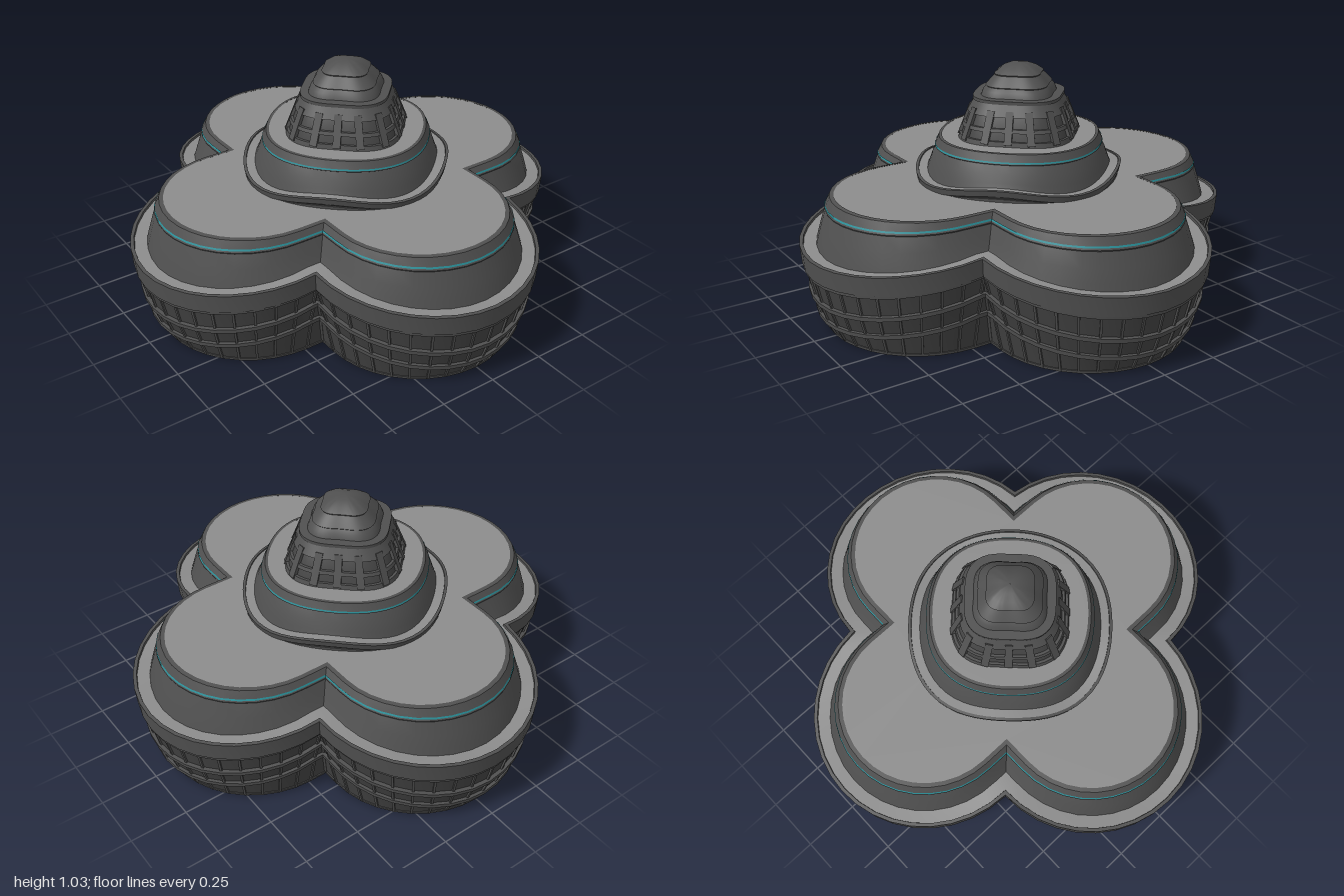
import * as THREE from 'three';
import { mergeGeometries, toCreasedNormals } from 'three/addons/utils/BufferGeometryUtils.js';

const mat = (name, color) =>
  Object.assign(new THREE.MeshStandardMaterial({ color, side: THREE.DoubleSide }), { name });

const C = 0.49; // distance of each lobe centre from the axis

// Four-lobed plan; r is the lobe radius, w rises from 0 at a lobe tip to 1 at a notch
function lobedPlan(r) {
  const s = r <= C ? r : (2 * C + Math.sqrt(4 * C * C - 8 * (C * C - r * r))) / 4;
  const T = r <= C ? Math.PI / 2 : Math.atan2(s, s - C);
  const pts = [], M = 18;
  for (let k = 0; k < 4; k++) {
    const lobe = [[s, -s, 1]];
    for (let i = 0; i <= M; i++) {
      const u = (i / M) * 2 - 1;
      lobe.push([C + r * Math.cos(u * T), r * Math.sin(u * T), Math.pow(Math.abs(u), 1.6)]);
    }
    const c = Math.round(Math.cos(k * Math.PI / 2)), n = Math.round(Math.sin(k * Math.PI / 2));
    for (const [x, z, w] of lobe) pts.push({ x: x * c - z * n, z: x * n + z * c, w });
  }
  return pts;
}

// Softly four-lobed round plan
const softPlan = (k) => (r) => Array.from({ length: 64 }, (_, i) => {
  const a = (i / 64) * Math.PI * 2, q = r * (1 + k * (Math.cos(4 * a) - 1) / 2);
  return { x: q * Math.cos(a), z: q * Math.sin(a), w: (1 - Math.cos(4 * a)) / 2 };
});

// Ring of points from a profile entry [radius, height, rise at the notches]
const ring = (plan, [r, y, amp = 0]) =>
  plan(r).map((p) => new THREE.Vector3(p.x, y + amp * p.w, p.z));

// Surface through the rings of a profile
function loft(plan, profile) {
  const rings = profile.map((p) => ring(plan, p));
  const n = rings[0].length, pos = [], idx = [];
  rings.forEach((rg) => rg.forEach((p) => pos.push(p.x, p.y, p.z)));
  for (let i = 0; i + 1 < rings.length; i++) {
    for (let j = 0; j < n; j++) {
      const a = i * n + j, b = i * n + (j + 1) % n;
      idx.push(a, b + n, b, a, a + n, b + n);
    }
  }
  const g = new THREE.BufferGeometry();
  g.setAttribute('position', new THREE.Float32BufferAttribute(pos, 3));
  g.setIndex(idx);
  return toCreasedNormals(g, 0.55);
}

// Upright bars along the ring, from a lower to an upper profile entry
function bars(plan, low, high, step, width, depth) {
  const a = ring(plan, low), b = ring(plan, high), n = a.length, list = [];
  for (let j = 0; j < n; j += step) {
    const up = b[j].clone().sub(a[j]), len = up.length();
    up.normalize();
    const t = a[(j + 1) % n].clone().sub(a[(j + n - 1) % n]).normalize();
    const out = t.clone().cross(up).normalize();
    t.crossVectors(up, out);
    const m = new THREE.Matrix4().makeBasis(t, up, out)
      .setPosition(a[j].clone().add(b[j]).multiplyScalar(0.5));
    list.push(new THREE.BoxGeometry(width, len, depth).applyMatrix4(m));
  }
  return mergeGeometries(list);
}

// Flat roof with an optional opening
function roofPlate(plan, r, y, holePlan, holeR) {
  const v = (p) => new THREE.Vector2(p.x, -p.z);
  const shape = new THREE.Shape(plan(r).map(v));
  if (holePlan) shape.holes.push(new THREE.Path(holePlan(holeR).map(v)));
  return new THREE.ShapeGeometry(shape).rotateX(-Math.PI / 2).translate(0, y, 0);
}

export function createModel() {
  const wall = mat('dark wall', 0x505050);
  const glass = mat('window glass', 0x444444);
  const roof = mat('light roof', 0x8c8c8c);
  const teal = mat('teal trim', 0x2a8f98);
  const model = new THREE.Group();
  let group;
  const tier = (name) => {
    group = new THREE.Group();
    group.name = name;
    model.add(group);
  };
  const add = (name, geo, m) => {
    const mesh = new THREE.Mesh(geo, m);
    mesh.name = name;
    group.add(mesh);
  };
  // Window row: glass band, mullions and the projecting ledge along its top
  const windowRow = (plan, low, high, step, width, depth, lip) => {
    add('windowBand', loft(plan, [low, high]), glass);
    add('mullions', bars(plan, low, high, step, width, depth), wall);
    const [r, y, amp] = high;
    add('ledge', loft(plan, [[r - 0.012, y - lip, amp], [r + 0.008, y - lip, amp],
      [r + 0.01, y + 0.004, amp], [r - 0.02, y + 0.006, amp]]), wall);
  };

  // Lower storey: four lobes with three rows of windows
  tier('lowerStorey');
  add('plinth', loft(lobedPlan, [[0.4, 0], [0.413, 0], [0.416, 0.012], [0.4, 0.012]]), wall);
  windowRow(lobedPlan, [0.41, 0.008, 0], [0.445, 0.075, 0.09], 1, 0.01, 0.014, 0.014);
  windowRow(lobedPlan, [0.44, 0.075, 0.09], [0.47, 0.16, 0.1], 1, 0.01, 0.014, 0.014);
  windowRow(lobedPlan, [0.462, 0.16, 0.1], [0.487, 0.268, 0.085], 1, 0.01, 0.014, 0.014);
  add('rim', loft(lobedPlan, [[0.485, 0.265, 0.08], [0.5, 0.268, 0.08], [0.507, 0.35, 0.075],
    [0.492, 0.352, 0.075], [0.49, 0.342, 0.075]]), wall);
  add('terrace', loft(lobedPlan, [[0.49, 0.342, 0.075], [0.435, 0.342, 0.075]]), roof);
  add('drum', loft(lobedPlan, [[0.438, 0.34, 0.07], [0.43, 0.375, 0.05], [0.415, 0.43, 0.03],
    [0.395, 0.495, 0.015], [0.397, 0.5, 0.015], [0.375, 0.55], [0.357, 0.552]]), wall);
  add('trimLine', loft(lobedPlan, [[0.396, 0.508, 0.014], [0.393, 0.515, 0.014]]), teal);
  add('roof', roofPlate(lobedPlan, 0.36, 0.55, softPlan(0.05), 0.44), roof);

  // Middle storey: its window wall continues below the roof and is open underneath
  const mid = softPlan(0.05);
  tier('middleStorey');
  windowRow(mid, [0.36, 0.24, 0], [0.39, 0.34, 0.02], 2, 0.008, 0.01, 0.012);
  windowRow(mid, [0.386, 0.34, 0.02], [0.42, 0.44, 0.02], 2, 0.008, 0.01, 0.012);
  windowRow(mid, [0.414, 0.44, 0.02], [0.442, 0.54, 0.02], 2, 0.008, 0.01, 0.012);
  add('rim', loft(mid, [[0.442, 0.54, 0.02], [0.458, 0.545, 0.03], [0.463, 0.57, 0.03],
    [0.45, 0.572, 0.03], [0.449, 0.567, 0.03]]), wall);
  add('terrace', loft(mid, [[0.449, 0.567, 0.03], [0.405, 0.567, 0.03]]), roof);
  add('drum', loft(mid, [[0.412, 0.565, 0.03], [0.402, 0.6, 0.015], [0.388, 0.645, 0.005],
    [0.37, 0.682], [0.376, 0.686], [0.358, 0.726], [0.345, 0.727]]), wall);
  add('trimLine', loft(mid, [[0.376, 0.69], [0.374, 0.696]]), teal);
  add('roof', roofPlate(mid, 0.347, 0.725), roof);

  // Lantern: two rows of deep-set windows under a thin brim
  const top = softPlan(0.12);
  tier('lantern');
  const frames = [[0.28, 0.725], [0.275, 0.745], [0.262, 0.78], [0.256, 0.795],
    [0.237, 0.84], [0.226, 0.855], [0.205, 0.89]];
  add('lanternWindows', loft(top, frames.map(([r, y]) => [r - 0.012, y])), glass);
  for (const [i, j] of [[0, 1], [2, 3], [4, 6]]) {
    const [r0, y0] = frames[i], [r1, y1] = frames[j];
    add('lanternBand', loft(top, [[r0 - 0.014, y0], [r0, y0], [r1, y1], [r1 - 0.014, y1]]), wall);
  }
  add('lanternPiers', bars(top, [0.274, 0.73], [0.218, 0.86], 4, 0.032, 0.02), wall);
  add('brim', loft(top, [[0.17, 0.888], [0.212, 0.888], [0.212, 0.902], [0.16, 0.903]]), wall);

  // Stepped dome
  const crown = softPlan(0.16);
  add('dome', loft(crown, [[0.178, 0.9], [0.168, 0.925], [0.152, 0.94], [0.156, 0.944],
    [0.135, 0.965], [0.112, 0.985], [0.115, 0.99], [0.085, 1.01], [0.045, 1.025],
    [0.001, 1.032]]), wall);
  return model;
}
